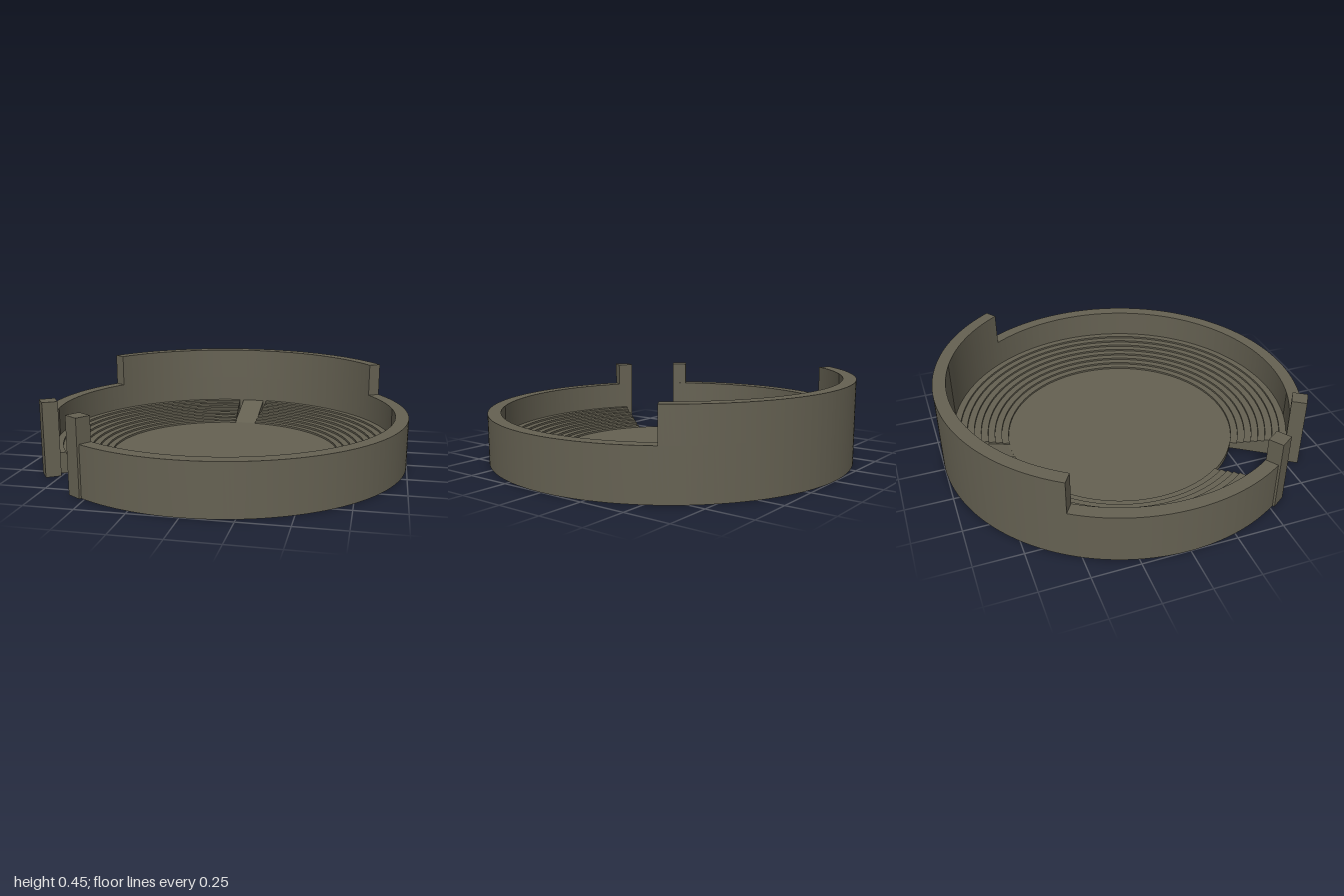
import * as THREE from 'three';

const DEG = Math.PI / 180;

// Ring sector standing on y0, angles in degrees counter-clockwise from +x seen from above
function ringSector(inner, outer, from, to, y0, y1) {
  const a = from * DEG, b = to * DEG;
  const shape = new THREE.Shape();
  shape.absarc(0, 0, outer, a, b, false);
  shape.absarc(0, 0, inner, b, a, true);
  shape.closePath();
  const geo = new THREE.ExtrudeGeometry(shape, {
    depth: y1 - y0,
    bevelEnabled: false,
    curveSegments: Math.ceil((to - from) / 2.8125),
  });
  geo.rotateX(-Math.PI / 2);
  geo.translate(0, y0, 0);
  return geo;
}

export function createModel() {
  const group = new THREE.Group();
  const stone = new THREE.MeshStandardMaterial({ color: 0x656152 });
  stone.name = 'stone';

  const add = (name, geo, parent = group) => {
    const mesh = new THREE.Mesh(geo, stone);
    mesh.name = name;
    parent.add(mesh);
    return mesh;
  };

  const floorR = 0.632, wallR = 0.93, floorH = 0.027;
  const lowWall = 0.267, highWall = 0.45;
  const steps = 8, rise = 0.0107;
  const gateStart = -123.75, gateEnd = 213.75;   // gateway opening lies between these
  const slot = 5.625;                            // half angle of the ramp slot at the back

  // Arena floor
  const floor = new THREE.CylinderGeometry(floorR, floorR, floorH, 128);
  floor.translate(0, floorH / 2, 0);
  add('floor', floor);

  // Stepped seating, interrupted by the gateway and the ramp
  const seating = new THREE.Group();
  seating.name = 'seating';
  group.add(seating);
  const tread = (wallR - floorR) / steps;
  for (let i = 0; i < steps; i++) {
    const r = floorR + i * tread;
    const h = floorH + (i + 1) * rise;
    add('leftStep', ringSector(r, r + tread, gateStart, 90 - slot, 0, h), seating);
    add('rightStep', ringSector(r, r + tread, 90 + slot, gateEnd, 0, h), seating);
  }

  // Outer wall with a raised section at the back
  add('outerWall', ringSector(wallR, 1, gateStart, gateEnd, 0, lowWall));
  add('raisedBackWall', ringSector(wallR, 1, 33.75, 146.25, lowWall, highWall));

  // Wedge ramp from the floor up to the back wall
  const profile = new THREE.Shape();
  profile.moveTo(0.62, 0);
  profile.lineTo(wallR + 0.006, 0);
  profile.lineTo(wallR + 0.006, floorH + steps * rise);
  profile.lineTo(0.64, floorH);
  profile.lineTo(0.62, floorH - 0.002);
  const rampW = 0.134;
  const ramp = new THREE.ExtrudeGeometry(profile, { depth: rampW, bevelEnabled: false });
  ramp.translate(0, 0, -rampW / 2);
  ramp.rotateY(Math.PI / 2);
  add('ramp', ramp);

  // Gate posts on both sides of the opening
  const postH = 0.395;
  for (const angle of [gateStart, gateEnd]) {
    const post = new THREE.BoxGeometry(0.08, postH, 0.087);
    post.translate(0.971, postH / 2, 0);
    post.rotateY(angle * DEG);
    add('gatePost', post);
  }

  return group;
}
